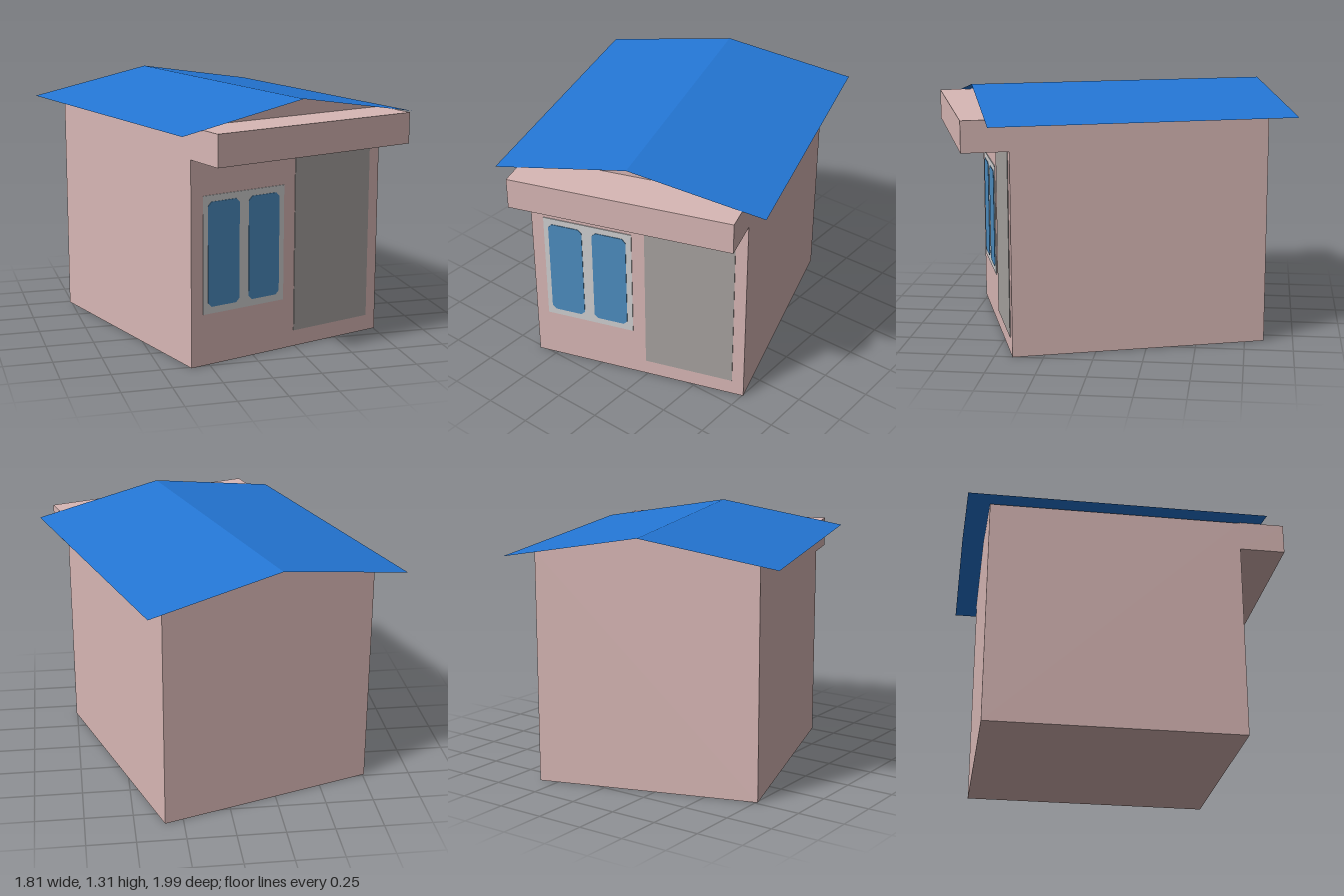
import * as THREE from 'three';

const mat = (name, color, side = THREE.FrontSide) => {
  const m = new THREE.MeshStandardMaterial({ color, side });
  m.name = name;
  return m;
};

export function createModel() {
  const pink = mat('wallPink', 0xd8b7b5);
  const blue = mat('roofBlue', 0x2477d6, THREE.DoubleSide);
  const grey = mat('doorGrey', 0xa6a29f);
  const pale = mat('frameGrey', 0xcfcfd0);
  const glass = mat('glassBlue', 0x4c8cbf);

  const house = new THREE.Group();
  house.name = 'house';
  const add = (name, geometry, material, x = 0, y = 0, z = 0) => {
    const mesh = new THREE.Mesh(geometry, material);
    mesh.name = name;
    mesh.position.set(x, y, z);
    house.add(mesh);
    return mesh;
  };

  const halfW = 0.581, front = 0.66, eave = 1.21, ridge = 1.311;

  // Walls: gabled section running front to back, just under the roof sheet
  const section = new THREE.Shape([
    [-halfW, 0], [halfW, 0], [halfW, eave - 0.004], [0, ridge - 0.004], [-halfW, eave - 0.004],
  ].map(([x, y]) => new THREE.Vector2(x, y)));
  add('walls', new THREE.ExtrudeGeometry(section, { depth: front * 2, bevelEnabled: false }), pink, 0, 0, -front);

  // Roof: two thin sloping sheets meeting at the ridge
  const roofHalf = 0.70, drop = 0.12, slope = Math.atan2(drop, roofHalf);
  for (const side of [-1, 1]) {
    const sheet = new THREE.PlaneGeometry(Math.hypot(roofHalf, drop), 1.557).rotateX(-Math.PI / 2);
    const mesh = add(side < 0 ? 'rightRoofSlope' : 'leftRoofSlope', sheet, blue,
      side * roofHalf / 2, ridge - drop / 2, 0);
    mesh.rotation.z = -side * slope;
  }

  // Flat canopy over the front
  add('frontCanopy', new THREE.BoxGeometry(halfW * 2, 0.16, 0.237), pink, 0, 1.13, front + 0.1185);

  // Thin panels on the front wall
  const panel = (name, x0, x1, y0, y1, z, material) =>
    add(name, new THREE.BoxGeometry(x1 - x0, y1 - y0, 0.004), material, (x0 + x1) / 2, (y0 + y1) / 2, z);
  panel('door', 0.04, 0.518, 0.085, 1.05, front + 0.002, grey);
  panel('windowFrame', -0.513, -0.03, 0.265, 0.865, front + 0.002, pale);

  // Window panes with clipped corners
  const w = 0.0925, h = 0.266, c = 0.02;
  const pane = new THREE.Shape([
    [-w + c, -h], [w - c, -h], [w, -h + c], [w, h - c], [w - c, h], [-w + c, h], [-w, h - c], [-w, -h + c],
  ].map(([x, y]) => new THREE.Vector2(x, y)));
  for (const [name, x] of [['rightPane', -0.394], ['leftPane', -0.153]]) {
    add(name, new THREE.ExtrudeGeometry(pane, { depth: 0.004, bevelEnabled: false }), glass, x, 0.566, front + 0.003);
  }

  // The whole house stands turned on its plot
  house.rotation.y = 0.316;
  house.position.set(-0.002, 0, -0.041);
  const model = new THREE.Group();
  model.name = 'smallHouse';
  model.add(house);
  return model;
}
